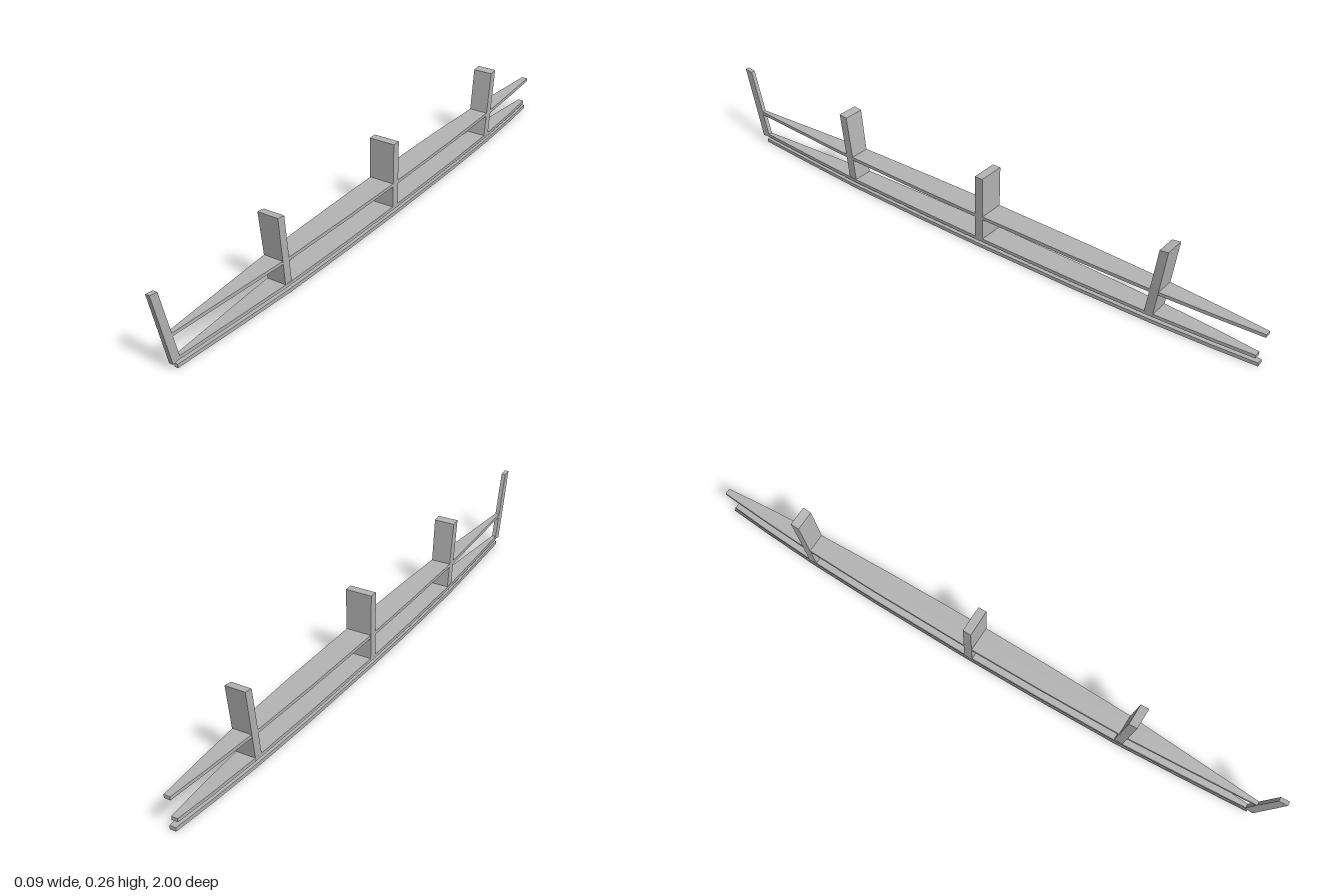
import * as THREE from 'three';

export function createModel() {
  const model = new THREE.Group();
  const grey = new THREE.MeshStandardMaterial({ color: 0xb4b4b4 });
  grey.name = 'hull grey';

  // Half-width of the slender hull along z, from stern to bow
  const outline = [
    [-1, 0.01], [-0.85, 0.021], [-0.66, 0.032], [-0.4, 0.039], [-0.05, 0.042],
    [0.2, 0.04], [0.48, 0.034], [0.7, 0.021], [0.93, 0.006],
  ];

  // Thin horizontal deck, with the outline fitted between its two ends
  function addDeck(name, bottom, height, stern, bow) {
    const fit = outline.map(([z, w]) => [Math.min(bow, Math.max(stern, z)), w]);
    fit[fit.length - 1][0] = bow;
    const points = [
      ...fit.map(([z, w]) => new THREE.Vector2(w, -z)),
      ...fit.slice().reverse().map(([z, w]) => new THREE.Vector2(-w, -z)),
    ];
    const geometry = new THREE.ExtrudeGeometry(new THREE.Shape(points), {
      depth: height, bevelEnabled: false,
    });
    geometry.rotateX(-Math.PI / 2);
    const deck = new THREE.Mesh(geometry, grey);
    deck.name = name;
    deck.position.y = bottom;
    model.add(deck);
  }
  addDeck('keelDeck', 0, 0.012, -0.99, 0.925);
  addDeck('lowerDeck', 0.023, 0.011, -0.98, 0.925);
  addDeck('upperDeck', 0.105, 0.011, -1, 0.945);

  // Upright plate that leans along z; bottom and top are { y, z, half }
  function addPost(name, thickness, bottom, top) {
    const geometry = new THREE.BoxGeometry(2, 1, thickness).toNonIndexed();
    const p = geometry.attributes.position;
    for (let i = 0; i < p.count; i++) {
      const end = p.getY(i) > 0 ? top : bottom;
      const tilt = Math.sign(p.getZ(i)) * (end.tilt || 0);
      p.setXYZ(i, p.getX(i) * end.half, end.y + tilt, end.z + p.getZ(i));
    }
    geometry.computeVertexNormals();
    const post = new THREE.Mesh(geometry, grey);
    post.name = name;
    model.add(post);
  }
  addPost('bowStem', 0.028, { y: 0.024, z: 0.928, half: 0.007, tilt: -0.003 },
    { y: 0.261, z: 0.986, half: 0.007, tilt: 0.002 });
  addPost('frontBulkhead', 0.028, { y: 0.025, z: 0.486, half: 0.032, tilt: -0.002 },
    { y: 0.259, z: 0.513, half: 0.035, tilt: 0.002 });
  addPost('middleBulkhead', 0.028, { y: 0.023, z: -0.052, half: 0.042 },
    { y: 0.251, z: -0.052, half: 0.044 });
  addPost('rearBulkhead', 0.028, { y: 0.025, z: -0.654, half: 0.032, tilt: 0.002 },
    { y: 0.259, z: -0.685, half: 0.033, tilt: -0.002 });

  return model;
}
